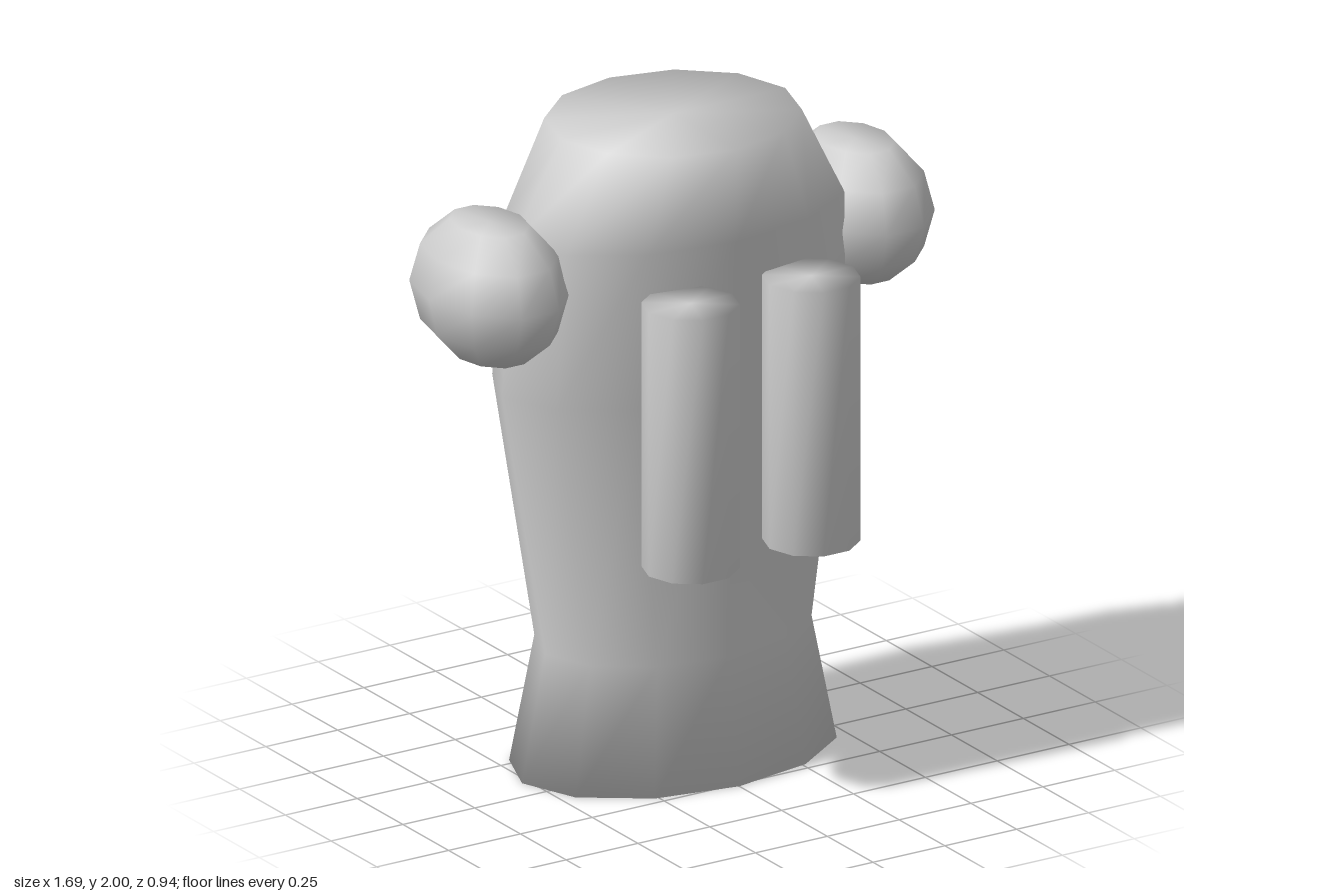
import * as THREE from 'three';

// Smooth closed loft of elliptical rings stacked along y; ring = [y, rx, rz, zCentre].
// The first corner of each ring lies on +x.
function loft(rings, sides) {
  const pos = [], index = [];
  for (const [y, rx, rz, zc] of rings) {
    for (let i = 0; i < sides; i++) {
      const a = (i / sides) * Math.PI * 2;
      pos.push(Math.cos(a) * rx, y, zc + Math.sin(a) * rz);
    }
  }
  // centre points of the flat ends
  const top = (rings.length - 1) * sides;
  const low = rings.length * sides, high = low + 1;
  for (const [y, , , zc] of [rings[0], rings[rings.length - 1]]) pos.push(0, y, zc);

  for (let i = 0; i < sides; i++) {
    const j = (i + 1) % sides;
    for (let r = 0; r < rings.length - 1; r++) {
      const a = r * sides + i, b = r * sides + j;
      const c = a + sides, d = b + sides;
      index.push(a, c, b, b, c, d);
    }
    // end caps share the rim corners, so their shading blends into the walls
    index.push(low, i, j, high, top + j, top + i);
  }
  const geo = new THREE.BufferGeometry();
  geo.setAttribute('position', new THREE.Float32BufferAttribute(pos, 3));
  geo.setIndex(index);
  geo.computeVertexNormals();
  return geo;
}

export function createModel() {
  const model = new THREE.Group();
  const grey = new THREE.MeshStandardMaterial({ color: 0xcccccc });
  grey.name = 'light grey';

  const add = (name, geo, x, y, z) => {
    const mesh = new THREE.Mesh(geo, grey);
    mesh.name = name;
    mesh.position.set(x, y, z);
    model.add(mesh);
  };

  // Torso: flared hem, narrow waist, wide chest, sloping shoulders
  add('torso', loft([
    [0, 0.525, 0.363, -0.095],
    [0.39, 0.445, 0.305, -0.095],
    [1.22, 0.58, 0.352, -0.118],
    [1.71, 0.56, 0.348, -0.093],
    [2, 0.39, 0.348, -0.094],
  ], 12), 0, 0, 0);

  // Shoulder ball: rings at 30 degree steps with small flat ends
  const ballRings = [-60, -30, 0, 30, 60].map((deg) => {
    const a = THREE.MathUtils.degToRad(deg);
    return [Math.sin(a) * 0.237, Math.cos(a) * 0.21, Math.cos(a) * 0.293, 0];
  });
  const ball = loft(ballRings, 10);

  // Upright chest tube
  const tube = loft([[-0.415, 0.145, 0.145, 0], [0.415, 0.145, 0.145, 0]], 10);

  for (const [side, s] of [['left', 1], ['right', -1]]) {
    add(side + 'Shoulder', ball, s * 0.635, 1.585, -0.1);
    add(side + 'ChestTube', tube, s * 0.21, 1.17, 0.332);
  }
  return model;
}
